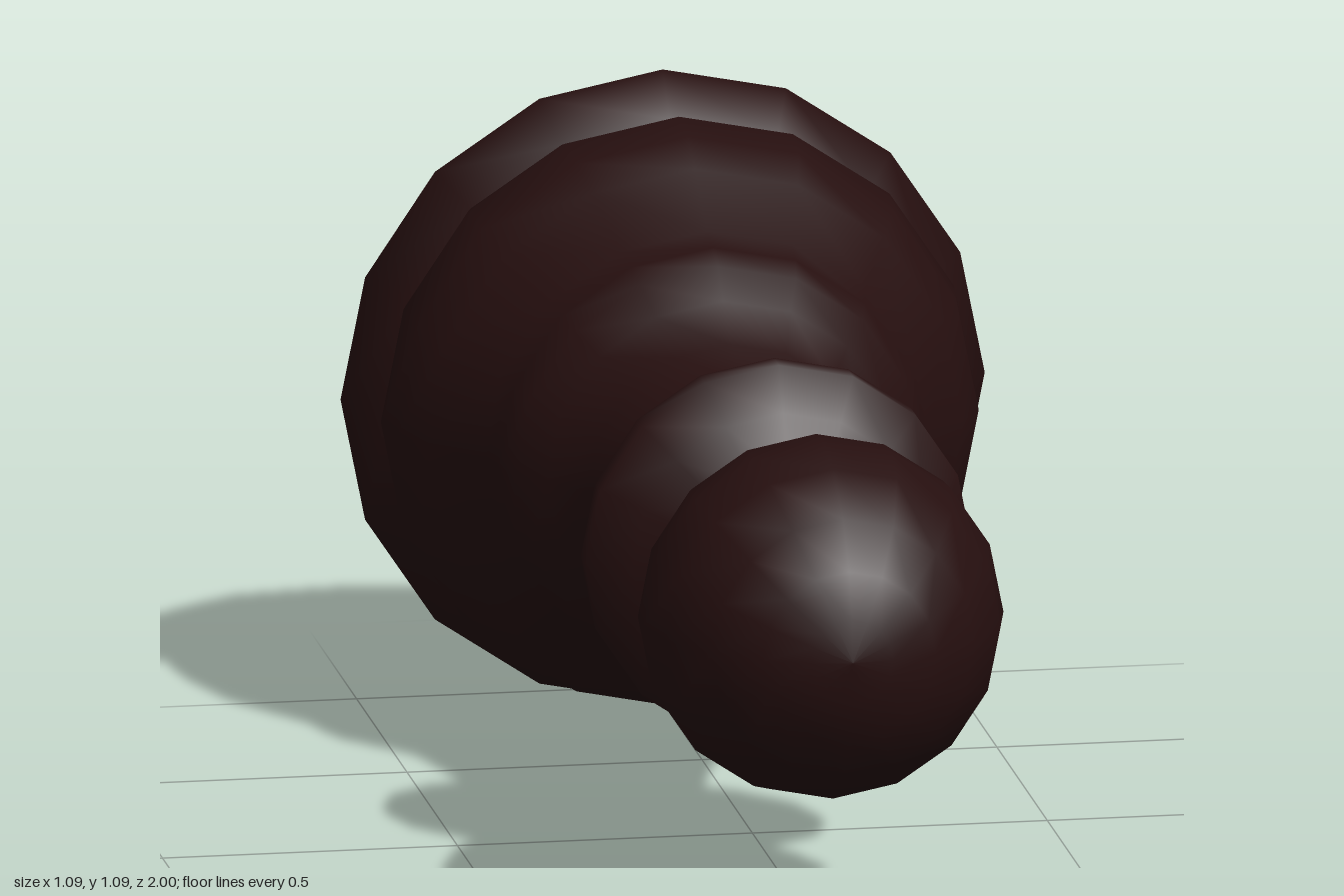
import * as THREE from 'three';

const SIDES = 16;
const AXIS_Y = 0.546;

export function createModel() {
  const darkWood = new THREE.MeshStandardMaterial({ color: 0x260f0f });
  darkWood.name = 'darkWood';
  const pawn = new THREE.Group();
  pawn.name = 'chessPawn';

  // Turned part: profile of [z, radius] pairs from the foot towards the head
  const turned = (name, profile) => {
    const points = profile.map(([z, r]) => new THREE.Vector2(r, z));
    const geometry = new THREE.LatheGeometry(points, SIDES).rotateX(Math.PI / 2);
    const mesh = new THREE.Mesh(geometry, darkWood);
    mesh.name = name;
    mesh.position.y = AXIS_Y;
    pawn.add(mesh);
  };

  // Flat underside, kept apart for a sharp edge
  turned('underside', [[-1, 0], [-1, 0.477]]);

  // Flared foot rim
  turned('footRim', [[-1, 0.477], [-0.98, 0.49], [-0.89, 0.546], [-0.82, 0.478]]);

  // Swelling body tapering to the neck
  turned('body', [
    [-0.82, 0.478], [-0.73, 0.505], [-0.64, 0.493], [-0.57, 0.455],
    [-0.45, 0.378], [-0.39, 0.365], [-0.34, 0.345], [-0.29, 0.298],
    [-0.21, 0.243], [-0.1, 0.212], [0, 0.188], [0.1, 0.174], [0.2, 0.172],
  ]);

  // Collar with a flat back and a sloping front
  turned('collarBack', [[0.2, 0.165], [0.2, 0.32]]);
  turned('collar', [[0.2, 0.32], [0.215, 0.328], [0.265, 0.328], [0.305, 0.255], [0.365, 0.163]]);

  // Round head, slightly drawn out towards the collar
  turned('head', [
    [0.365, 0.163], [0.42, 0.2], [0.48, 0.235], [0.55, 0.277], [0.63, 0.302], [0.7, 0.306],
    [0.8, 0.284], [0.9, 0.223], [0.96, 0.147], [0.99, 0.07], [1, 0],
  ]);

  return pawn;
}
